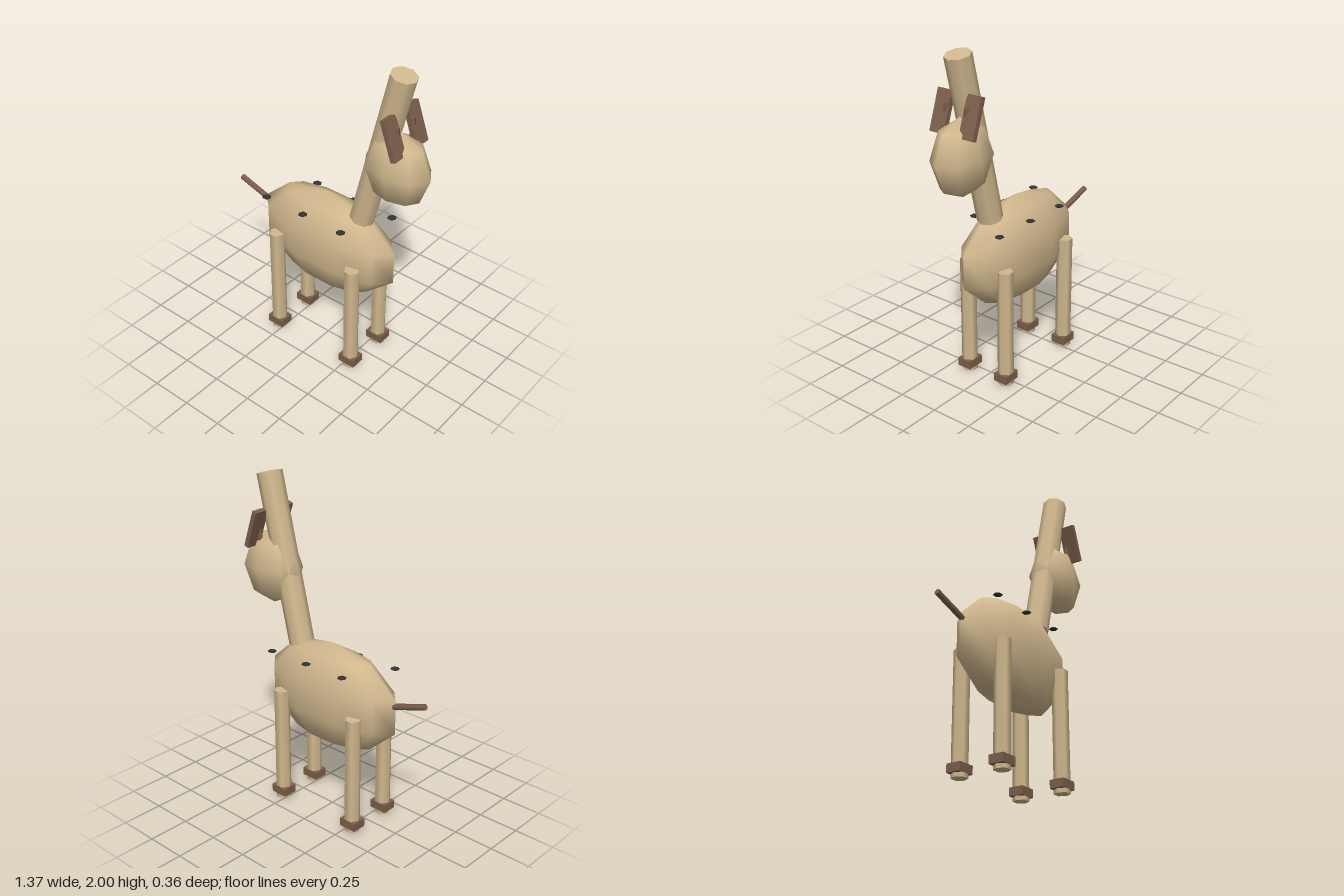
import * as THREE from 'three';

const tan = new THREE.MeshStandardMaterial({ color: 0xd2b98f });
const brown = new THREE.MeshStandardMaterial({ color: 0x7d5f4c });
const dark = new THREE.MeshStandardMaterial({ color: 0x333333 });

export function createModel() {
  const model = new THREE.Group();

  const add = (name, geometry, material, x, y, z, tilt = 0) => {
    const mesh = new THREE.Mesh(geometry, material);
    mesh.name = name;
    mesh.position.set(x, y, z);
    mesh.rotation.z = tilt;
    model.add(mesh);
    return mesh;
  };

  // Low-poly ellipsoids for the trunk and head
  add('body', new THREE.SphereGeometry(1, 10, 5), tan, 0, 0.745, 0).scale.set(0.5, 0.325, 0.171);
  add('head', new THREE.SphereGeometry(1, 8, 4), tan, 0.47, 1.425, 0).scale.set(0.21, 0.227, 0.135);

  // Leaning neck, reaching past the head
  add('neck', new THREE.CylinderGeometry(0.075, 0.075, 1.01, 8), tan, 0.365, 1.491, 0, -0.24);

  // Tail sloping up and back
  add('tail', new THREE.CylinderGeometry(0.018, 0.018, 0.23, 6), brown, -0.572, 0.85, 0, 1.26);

  // Six-sided legs with a block hoof around each foot
  const legGeometry = new THREE.CylinderGeometry(0.047, 0.047, 0.725, 6).rotateY(Math.PI / 6);
  const hoofGeometry = new THREE.BoxGeometry(0.11, 0.05, 0.09);
  for (const x of [-0.283, 0.283]) {
    for (const z of [-0.137, 0.137]) {
      add('leg', legGeometry, tan, x, 0.3625, z);
      add('hoof', hoofGeometry, brown, x, 0.05, z);
    }
  }

  // Slanted ears and short horns on both sides of the head
  const earGeometry = new THREE.BoxGeometry(0.03, 0.233, 0.097);
  const hornGeometry = new THREE.CylinderGeometry(0.015, 0.015, 0.14, 6);
  for (const side of [-1, 1]) {
    add('ear', earGeometry, brown, 0.502, 1.668, side * 0.1, 0.34);
    add('horn', hornGeometry, brown, 0.503, 1.65, side * 0.07);
  }

  // Flat spots, staggered along the two flanks
  const spotGeometry = new THREE.SphereGeometry(0.028, 6, 4).scale(1, 0.27, 1);
  for (let i = 0; i < 6; i++) {
    add('spot', spotGeometry, dark, -0.345 + i * 0.138, 0.96, i % 2 ? -0.148 : 0.148);
  }

  return model;
}
